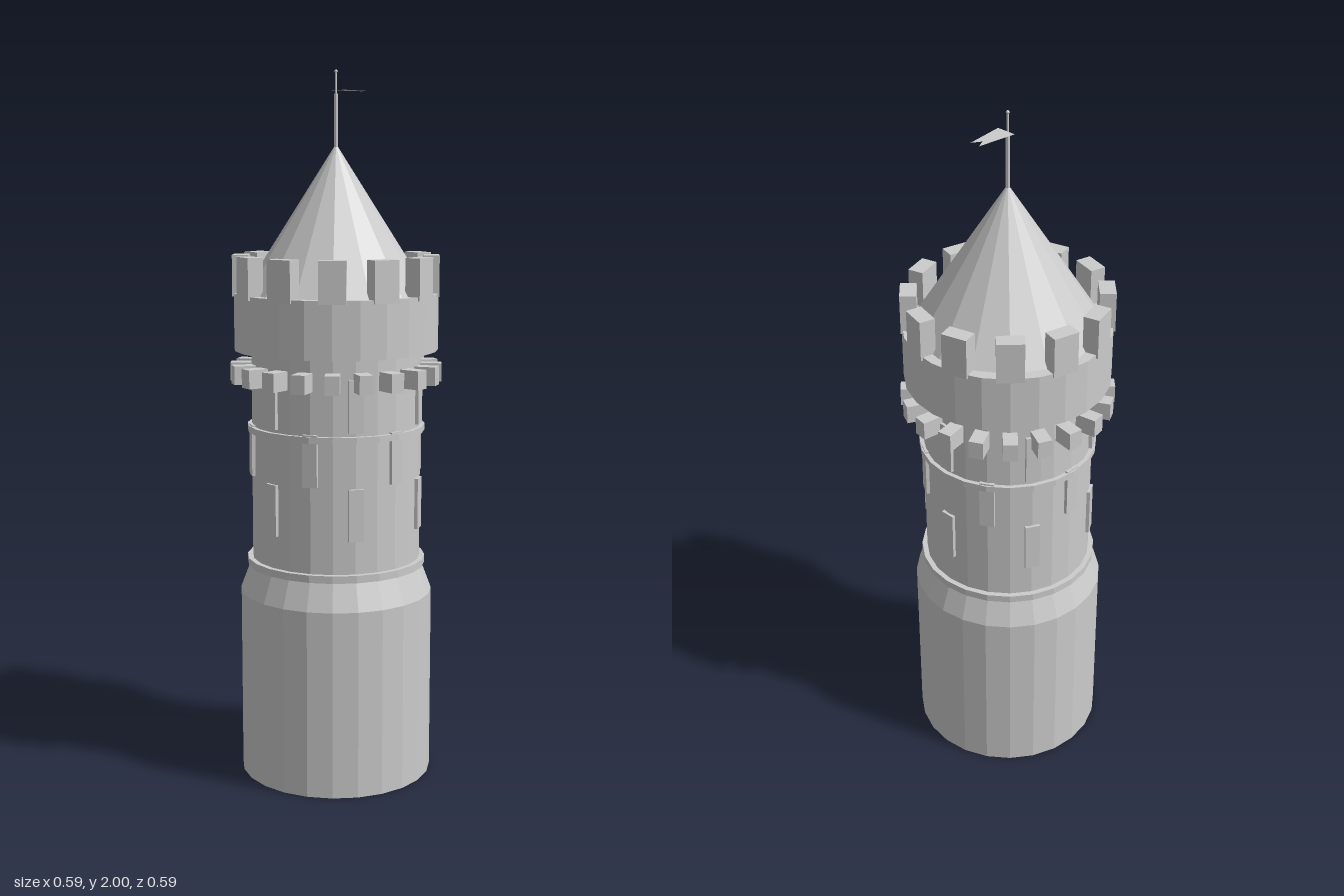
import * as THREE from 'three';

const stone = new THREE.MeshStandardMaterial({ color: 0xcccccc, flatShading: true });
const cloth = new THREE.MeshStandardMaterial({ color: 0xcccccc, flatShading: true, side: THREE.DoubleSide });

export function createModel() {
  const tower = new THREE.Group();
  tower.name = 'tower';

  const add = (name, geometry, parent = tower, material = stone) => {
    const mesh = new THREE.Mesh(geometry, material);
    mesh.name = name;
    parent.add(mesh);
    return mesh;
  };

  // Upright drum between two heights
  const drum = (name, rBottom, rTop, y0, y1, sides = 24) => {
    const mesh = add(name, new THREE.CylinderGeometry(rTop, rBottom, y1 - y0, sides));
    mesh.position.y = (y0 + y1) / 2;
    return mesh;
  };

  // Ring of blocks facing outward; rOut is the distance to their outer faces
  const blockRing = (name, count, startDeg, [w, h, d], rOut, y) => {
    const ring = new THREE.Group();
    ring.name = name + 'Ring';
    tower.add(ring);
    const geometry = new THREE.BoxGeometry(w, h, d);
    for (let i = 0; i < count; i++) {
      const a = THREE.MathUtils.degToRad(startDeg) + (i / count) * Math.PI * 2;
      const block = add(name, geometry, ring);
      block.position.set(Math.sin(a) * (rOut - d / 2), y, Math.cos(a) * (rOut - d / 2));
      block.rotation.y = a;
    }
  };

  // Body
  drum('base', 0.275, 0.275, 0, 0.535);
  drum('baseTaper', 0.275, 0.243, 0.535, 0.62);
  drum('shaft', 0.24, 0.24, 0.6, 1.25);
  drum('lowerBand', 0.255, 0.255, 0.613, 0.634);
  drum('upperBand', 0.252, 0.252, 1.0, 1.018);

  // Arrow slits in three staggered rows
  [[0.8, 30], [0.95, 0], [1.1, 30]].forEach(([y, start]) =>
    blockRing('arrowSlit', 6, start, [0.042, 0.145, 0.03], 0.247, y));

  // Overhanging battlement
  blockRing('corbel', 20, 9, [0.04, 0.052, 0.07], 0.298, 1.166);
  drum('parapet', 0.288, 0.288, 1.23, 1.39);
  blockRing('merlon', 12, 15, [0.074, 0.115, 0.045], 0.289, 1.4375);

  // Roof and flagpole
  const roof = add('roof', new THREE.ConeGeometry(0.26, 0.41, 16));
  roof.position.y = 1.595;
  drum('poleBase', 0.006, 0.006, 1.77, 1.935, 8);
  drum('poleTip', 0.003, 0.003, 1.93, 1.994, 8);
  const finial = add('finial', new THREE.SphereGeometry(0.005, 8, 6));
  finial.position.y = 1.995;

  // Swallow-tailed pennant lying flat
  const outline = [[0.003, 0.027], [0.116, 0.013], [0.09, -0.001], [0.116, -0.017], [0.003, -0.031]];
  const shape = new THREE.Shape(outline.map(([x, y]) => new THREE.Vector2(x, y)));
  const pennant = add('pennant', new THREE.ShapeGeometry(shape), tower, cloth);
  pennant.rotation.x = -Math.PI / 2;
  pennant.position.y = 1.945;

  return tower;
}
